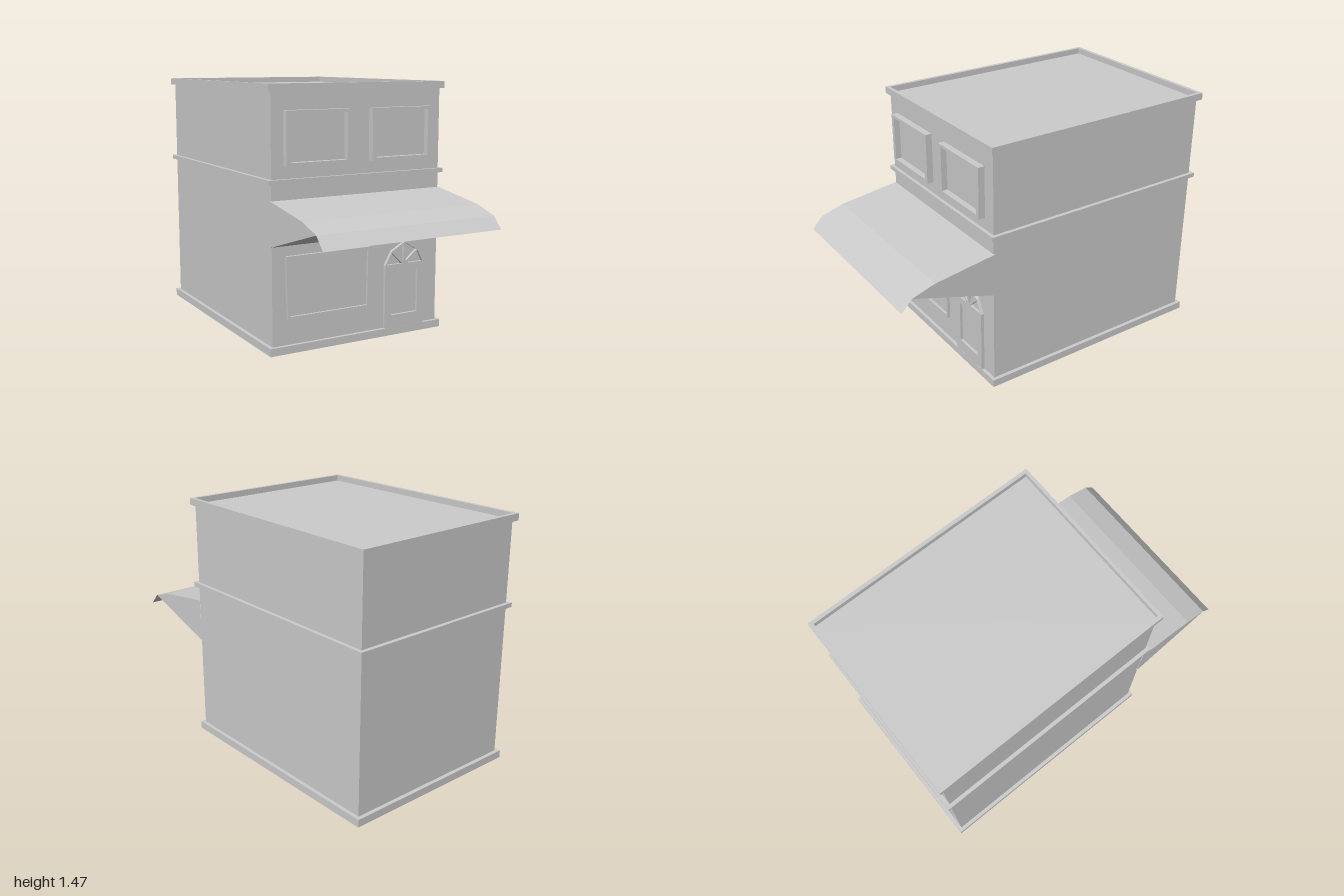
import * as THREE from 'three';

const WALL = { x: 0.545, back: -0.977, front: 0.437, top: 1.435 };
const TRIM = { x: 0.567, back: -1, front: 0.457 };

const mat = new THREE.MeshStandardMaterial({ color: 0xcccccc, flatShading: true, side: THREE.DoubleSide });

function add(parent, name, geometry) {
  const mesh = new THREE.Mesh(geometry, mat);
  mesh.name = name;
  parent.add(mesh);
  return mesh;
}

const outline = (pts) => pts.map(([x, y]) => new THREE.Vector2(x, y));
const rect = (x0, y0, x1, y1) => [[x0, y0], [x1, y0], [x1, y1], [x0, y1]];

// Flat panel with openings, extruded forward from z = from to z = to
function panel(points, holes, from, to) {
  const shape = new THREE.Shape(outline(points));
  shape.holes = holes.map((h) => new THREE.Path(outline(h)));
  const g = new THREE.ExtrudeGeometry(shape, { depth: to - from, bevelEnabled: false });
  return g.translate(0, 0, from);
}

// Horizontal band running around the building
function band(y0, y1) {
  const g = panel(
    rect(-TRIM.x, -TRIM.front, TRIM.x, -TRIM.back),
    [rect(-WALL.x, -WALL.front, WALL.x, -WALL.back)], y0, y1);
  return g.rotateX(-Math.PI / 2);
}

// Thin sheet following a [z, y] profile across the width
function sheet(profile, width) {
  const g = new THREE.PlaneGeometry(width, 1, 1, profile.length - 1);
  const pos = g.attributes.position;
  for (let i = 0; i < pos.count; i++) {
    const [z, y] = profile[Math.floor(i / 2)];
    pos.setY(i, y);
    pos.setZ(i, z);
  }
  const flat = g.toNonIndexed();
  flat.computeVertexNormals();
  return flat;
}

// Frame standing on the front wall with a recessed pane
function makeWindow(name, outer, inner, front) {
  const group = new THREE.Group();
  group.name = name;
  add(group, name + 'Frame', panel(outer, [inner], WALL.front, front));
  const pane = add(group, name + 'Pane', new THREE.ShapeGeometry(new THREE.Shape(outline(inner))));
  pane.position.z = WALL.front + 0.003;
  return group;
}

function makeDoor() {
  const group = new THREE.Group();
  group.name = 'door';
  const cx = 0.307;
  const mirror = (pts) => pts.map(([x, y]) => [-x, y]).reverse();
  const shift = (pts) => pts.map(([x, y]) => [x + cx, y]);
  // Door slab with a faceted arch on top
  const slab = [[-0.135, 0.02], [0.135, 0.02], [0.135, 0.42], [0.09, 0.5], [0, 0.55], [-0.09, 0.5], [-0.135, 0.42]];
  // Fanlight openings on one side, mirrored to the other
  const fan = [
    [[0.02, 0.422], [0.125, 0.422], [0.09, 0.49]],
    [[0.008, 0.435], [0.083, 0.496], [0.008, 0.54]],
  ];
  const holes = [rect(-0.092, 0.12, 0.092, 0.38), ...fan, ...fan.map(mirror)];
  add(group, 'doorSlab', panel(shift(slab), holes.map(shift), WALL.front, 0.456));
  const backing = add(group, 'doorPanels', new THREE.ShapeGeometry(new THREE.Shape(outline(shift(slab)))));
  backing.position.z = WALL.front + 0.003;
  return group;
}

function makeAwning() {
  const group = new THREE.Group();
  group.name = 'awning';
  const half = 0.552;
  const top = [[0.43, 0.852], [0.8, 0.8], [0.937, 0.757]];
  const foot = [0.424, 0.597];
  // Canopy with its hanging front lip
  add(group, 'awningCanopy', sheet([...top, [1, 0.69]], half * 2));
  add(group, 'awningUnderside', sheet([top[2], foot], half * 2));
  for (const side of [-1, 1]) {
    const end = new THREE.ShapeGeometry(new THREE.Shape(outline([...top, foot])));
    end.rotateY(-Math.PI / 2);
    add(group, side > 0 ? 'awningEndLeft' : 'awningEndRight', end).position.x = side * half;
  }
  return group;
}

export function createModel() {
  const model = new THREE.Group();
  model.name = 'shop';

  // Walls and flat roof, open underneath
  const depth = WALL.front - WALL.back;
  const shell = new THREE.BoxGeometry(WALL.x * 2, WALL.top, depth);
  const index = Array.from(shell.index.array);
  index.splice(18, 6);
  shell.setIndex(index);
  shell.clearGroups();
  add(model, 'wallsAndRoof', shell).position.set(0, WALL.top / 2, (WALL.front + WALL.back) / 2);

  // Plinth, floor band and parapet
  add(model, 'plinth', band(0, 0.045));
  add(model, 'floorBand', band(0.94, 0.965));
  add(model, 'parapet', band(1.43, 1.47));

  // Upper windows
  for (const [name, x] of [['upperWindowRight', -0.272], ['upperWindowLeft', 0.265]]) {
    model.add(makeWindow(name,
      rect(x - 0.2, 1.035, x + 0.2, 1.33),
      rect(x - 0.175, 1.053, x + 0.175, 1.313), 0.476));
  }

  // Shop window, slightly narrower at the sill
  model.add(makeWindow('shopWindow',
    [[-0.458, 0.19], [0.065, 0.19], [0.07, 0.545], [-0.466, 0.545]],
    [[-0.444, 0.206], [0.051, 0.206], [0.056, 0.53], [-0.45, 0.53]], 0.454));

  model.add(makeDoor());
  model.add(makeAwning());
  return model;
}
